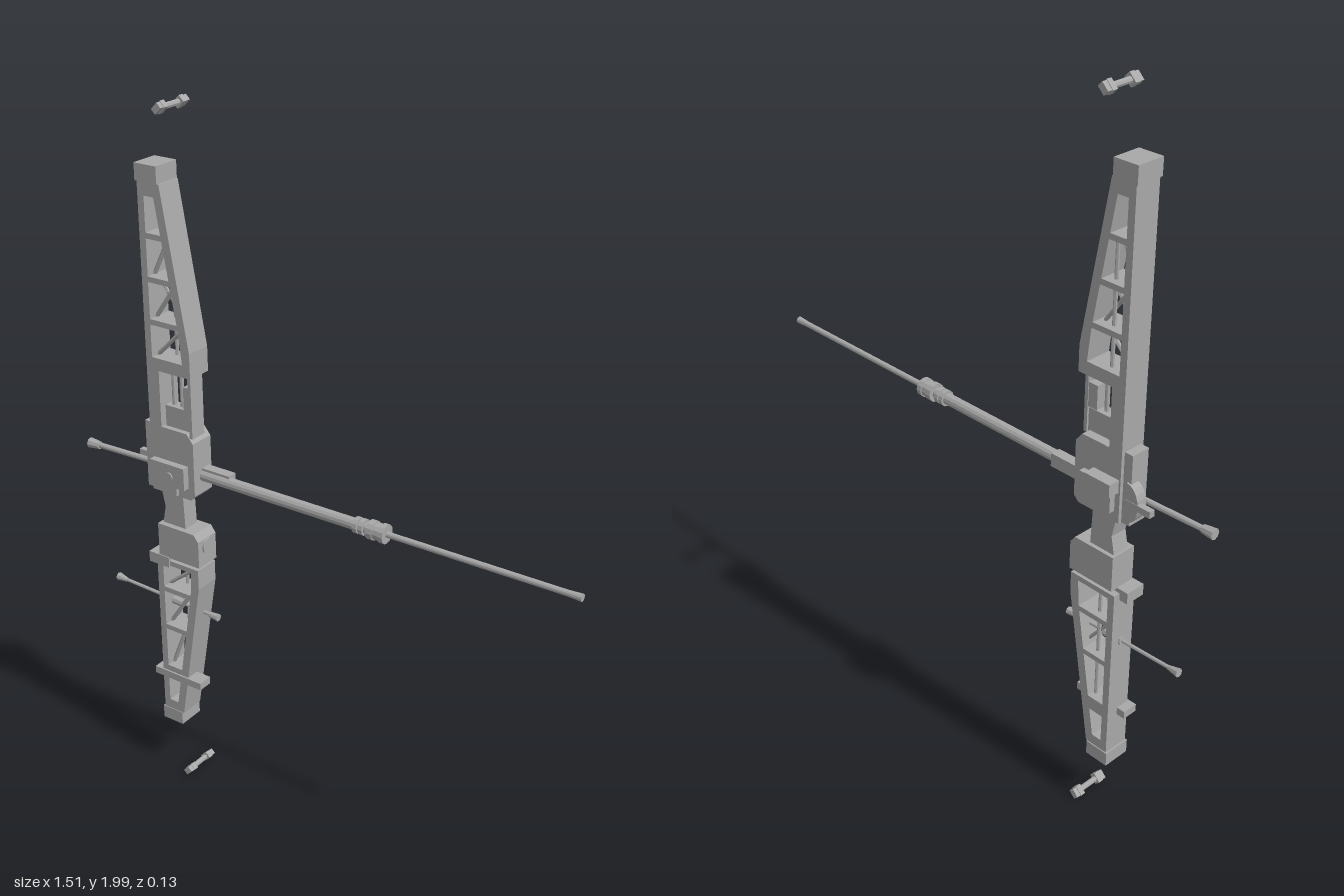
import * as THREE from 'three';

export function createModel() {
  const model = new THREE.Group();
  model.name = 'mechanicalBow';
  const grey = new THREE.MeshStandardMaterial({ color: 0xa8a8a8 });
  grey.name = 'metal grey';
  grey.flatShading = true;

  const add = (name, geo) => {
    const mesh = new THREE.Mesh(geo, grey);
    mesh.name = name;
    model.add(mesh);
    return mesh;
  };
  // Box given by its limits on each axis
  const box = (name, x0, x1, y0, y1, z0, z1) => {
    const m = add(name, new THREE.BoxGeometry(x1 - x0, y1 - y0, z1 - z0));
    m.position.set((x0 + x1) / 2, (y0 + y1) / 2, (z0 + z1) / 2);
    return m;
  };
  // Cylinder between two points
  const rod = (name, a, b, ra, rb = ra, sides = 12) => {
    const p = new THREE.Vector3(...a), q = new THREE.Vector3(...b);
    const d = q.clone().sub(p);
    const m = add(name, new THREE.CylinderGeometry(rb, ra, d.length(), sides));
    m.position.copy(p).add(q).multiplyScalar(0.5);
    m.quaternion.setFromUnitVectors(new THREE.Vector3(0, 1, 0), d.normalize());
    return m;
  };
  // Extruded outline with optional holes
  const plate = (name, points, z0, z1, holes = []) => {
    const toVec = (list) => list.map(([x, y]) => new THREE.Vector2(x, y));
    const shape = new THREE.Shape(toVec(points));
    for (const h of holes) shape.holes.push(new THREE.Path(toVec(h)));
    const geo = new THREE.ExtrudeGeometry(shape, { depth: z1 - z0, bevelEnabled: false, curveSegments: 8 });
    geo.translate(0, 0, z0);
    return add(name, geo);
  };
  const Z0 = -0.035, Z1 = 0.04;

  // Limbs: tapered frames with trapezoid windows and diagonal braces
  const limb = (name, tip, shoulder, root, windows) => {
    const edge = (y) => {
      const t = Math.min(1, Math.max(0, (y - shoulder) / (tip - shoulder)));
      return -0.37 - 0.075 * t;
    };
    const holes = windows.map(([a, b]) => [
      [-0.495, a], [edge(a) - 0.025, a], [edge(b) - 0.025, b], [-0.495, b]]);
    plate(name + 'Frame', [[-0.515, root], [-0.37, root], [-0.37, shoulder], [-0.445, tip], [-0.515, tip]],
      Z0, Z1, holes);
    windows.forEach(([a, b], i) => {
      if (i === 0) return;
      const r = Math.min(edge(a), edge(b)) - 0.025;
      rod(name + 'Brace', [-0.495, a, 0.012], [r, b, 0.012], 0.006, 0.006, 6);
      rod(name + 'InnerRod', [-0.452, a, -0.012], [-0.452, b, -0.012], 0.005, 0.005, 6);
    });
  };
  limb('upperLimb', 1.79, 1.36, 1.29, [[1.66, 1.755], [1.545, 1.645], [1.43, 1.53], [1.325, 1.415]]);
  limb('lowerLimb', 0.215, 0.66, 0.72, [[0.245, 0.325], [0.365, 0.49], [0.505, 0.615], [0.63, 0.705]]);
  rod('lowerCrossBrace', [-0.49, 0.615, -0.005], [-0.41, 0.515, -0.005], 0.005, 0.005, 6);
  rod('upperCrossBrace', [-0.49, 1.53, -0.005], [-0.42, 1.43, -0.005], 0.005, 0.005, 6);
  box('upperTip', -0.52, -0.45, 1.79, 1.835, -0.038, 0.042);
  box('lowerTip', -0.52, -0.45, 0.175, 0.215, -0.038, 0.042);

  // Open section above the riser
  box('upperSpine', -0.515, -0.475, 1.12, 1.29, Z0, Z1);
  box('openingPost', -0.38, -0.37, 1.12, 1.29, -0.01, Z1);
  box('openingCatch', -0.408, -0.378, 1.19, 1.255, -0.008, 0.025);
  box('rodBase', -0.47, -0.385, 1.12, 1.19, -0.01, 0.025);
  for (const x of [-0.452, -0.425]) rod('openingRod', [x, 1.13, 0.008], [x, 1.3, 0.008], 0.006, 0.006, 8);

  // Riser and its attached blocks
  plate('riser', [[-0.515, 0.935], [-0.385, 0.935], [-0.37, 0.95], [-0.37, 1.105], [-0.39, 1.13], [-0.515, 1.13]],
    Z0, Z1);
  box('riserBackPlate', -0.54, -0.51, 0.935, 1.13, -0.025, 0.03);
  box('frontBlock', -0.505, -0.39, 0.97, 1.035, 0.03, 0.06);
  box('frontBlockFoot', -0.465, -0.425, 0.94, 0.975, 0.03, 0.05);
  rod('frontScrew', [-0.44, 1.0, 0.05], [-0.44, 1.0, 0.064], 0.012);
  box('rearTab', -0.51, -0.43, 1.02, 1.055, -0.068, -0.03);
  box('rearBlock', -0.5, -0.4, 0.965, 1.04, -0.052, -0.03);
  box('sideGuide', -0.375, -0.28, 0.985, 1.022, -0.024, 0.005);

  // Half-round draw wheel and its finger behind the riser
  const wheel = [];
  for (let i = 0; i <= 10; i++) {
    const a = Math.PI / 2 + (Math.PI * i) / 10;
    wheel.push([-0.53 + 0.037 * Math.cos(a), 1.0 + 0.055 * Math.sin(a)]);
  }
  plate('drawWheel', wheel, -0.03, 0.0);
  box('drawFinger', -0.605, -0.53, 0.991, 1.009, -0.031, -0.014);

  // Grip and lower block
  plate('grip', [[-0.5, 0.82], [-0.42, 0.82], [-0.425, 0.94], [-0.5, 0.94], [-0.488, 0.88]], -0.025, 0.025);
  plate('lowerBlock', [[-0.505, 0.73], [-0.365, 0.73], [-0.365, 0.81], [-0.38, 0.83], [-0.505, 0.83]], -0.036, 0.041);
  box('lowerBlockStep', -0.54, -0.47, 0.7, 0.732, -0.015, 0.044);
  rod('lowerBlockDial', [-0.38, 0.787, 0.002], [-0.36, 0.787, 0.002], 0.022, 0.022, 16);
  box('lowerBand', -0.54, -0.375, 0.325, 0.347, 0.0, 0.045);

  // Arrow with a two-step shaft, collars and nock
  const along = (name, x0, x1, r, r2 = r) => rod(name, [x0, 1.0, 0], [x1, 1.0, 0], r, r2);
  along('arrowSleeve', -0.4, 0.13, 0.016);
  along('arrowTube', 0.1, 0.74, 0.008);
  along('arrowTip', 0.71, 0.75, 0.008, 0.01);
  for (const [a, b, r] of [[0.12, 0.133, 0.022], [0.137, 0.15, 0.022], [0.15, 0.165, 0.015],
    [0.162, 0.18, 0.026], [0.18, 0.198, 0.023], [0.198, 0.213, 0.026]]) along('arrowCollar', a, b, r);
  rod('arrowTail', [-0.73, 1.0, 0.018], [-0.4, 1.0, 0.006], 0.008);
  rod('arrowNock', [-0.757, 1.0, 0.02], [-0.722, 1.0, 0.019], 0.015, 0.011, 8);

  // Side stabiliser through the lower limb
  rod('stabiliserRod', [-0.69, 0.574, 0], [-0.36, 0.562, 0], 0.005, 0.005, 8);
  rod('stabiliserEnd', [-0.703, 0.575, 0], [-0.67, 0.573, 0], 0.012, 0.006, 8);
  rod('stabiliserFrontEnd', [-0.365, 0.562, 0], [-0.335, 0.561, 0], 0.008, 0.011, 8);
  rod('stabiliserSleeve', [-0.52, 0.568, 0], [-0.46, 0.566, 0], 0.012, 0.012, 8);

  // Detached string pins beyond each tip
  for (const y of [0.022, 1.981]) {
    rod('pinShaft', [-0.428, y, -0.04], [-0.428, y, 0.04], 0.008, 0.008, 8);
    for (const s of [-1, 1]) {
      for (const [a, b, w, h] of [[0.028, 0.043, 0.028, 0.02], [0.043, 0.056, 0.025, 0.017]]) {
        const head = box('pinHead', -w / 2, w / 2, -h / 2, h / 2, a, b);
        head.position.set(-0.428, y, (s * (a + b)) / 2);
        head.rotation.z = Math.PI / 4;
      }
    }
  }
  return model;
}
